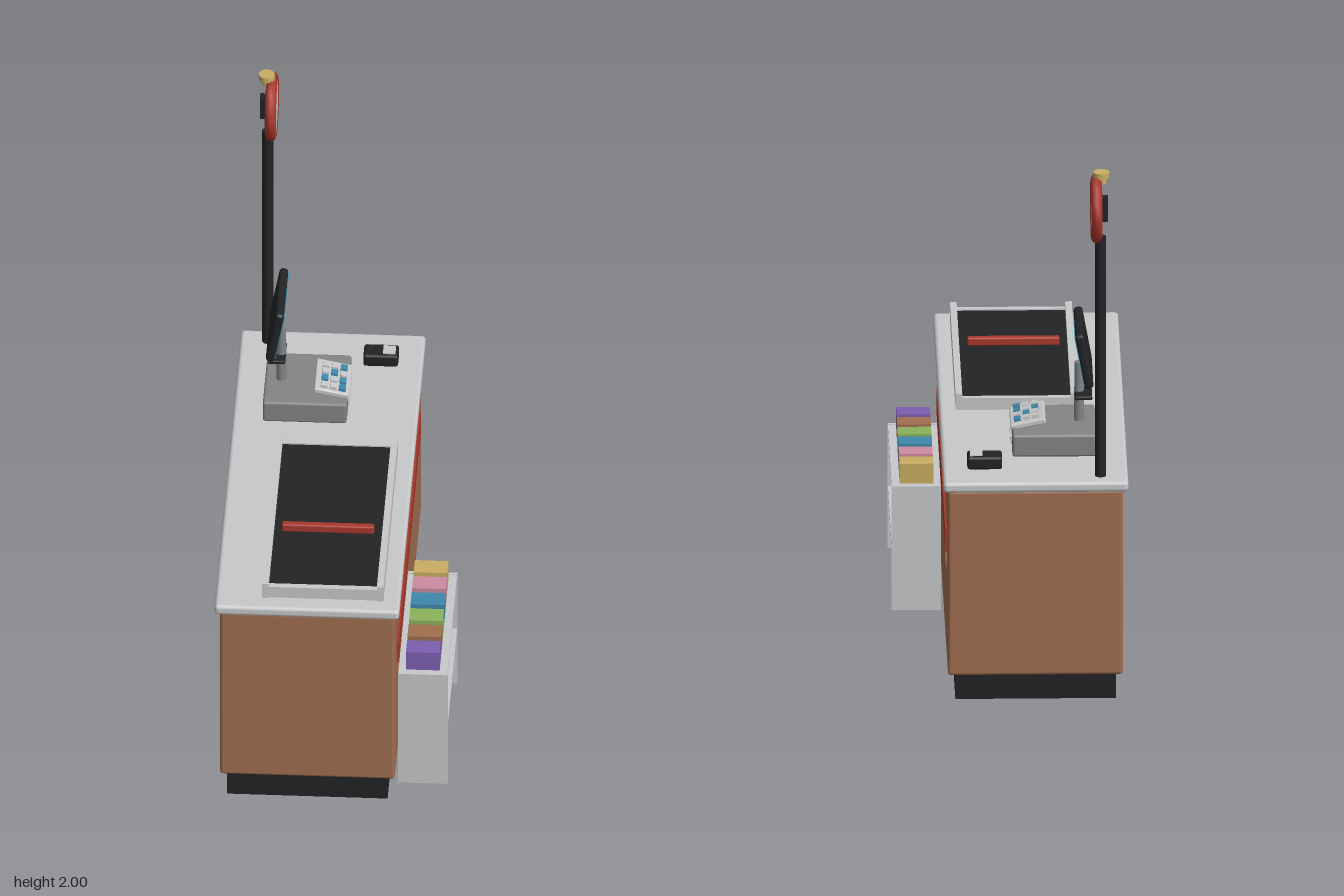
import * as THREE from 'three';
import { RoundedBoxGeometry } from 'three/addons/geometries/RoundedBoxGeometry.js';

const mat = (name, color) => {
  const m = new THREE.MeshStandardMaterial({ color });
  m.name = name;
  return m;
};

export function createModel() {
  const brown = mat('brown', 0xa06e50);
  const light = mat('lightGrey', 0xc6c8ca);
  const grey = mat('midGrey', 0x828486);
  const black = mat('black', 0x222325);
  const red = mat('red', 0xa9382c);
  const blue = mat('blue', 0x3e88ab);
  const gold = mat('gold', 0xc9ae62);
  const pink = mat('pink', 0xcc8a9f);
  const green = mat('green', 0x8ab35b);
  const purple = mat('purple', 0x7d5fb2);

  const model = new THREE.Group();
  model.name = 'checkoutCounter';

  const add = (parent, name, geo, material, x = 0, y = 0, z = 0) => {
    const mesh = new THREE.Mesh(geo, material);
    mesh.name = name;
    mesh.position.set(x, y, z);
    parent.add(mesh);
    return mesh;
  };
  // Box given by its extents; r > 0 rounds the edges
  const box = (parent, name, material, x0, x1, y0, y1, z0, z1, r = 0) => {
    const size = [x1 - x0, y1 - y0, z1 - z0];
    const geo = r ? new RoundedBoxGeometry(...size, 2, r) : new THREE.BoxGeometry(...size);
    return add(parent, name, geo, material, (x0 + x1) / 2, (y0 + y1) / 2, (z0 + z1) / 2);
  };
  const group = (name) => {
    const g = new THREE.Group();
    g.name = name;
    model.add(g);
    return g;
  };

  // Cabinet
  const counter = group('counter');
  box(counter, 'plinth', black, -0.37, 0.205, 0, 0.11, -0.806, 0.86);
  box(counter, 'cabinet', brown, -0.395, 0.232, 0.1, 0.805, -0.838, 0.886, 0.012);
  box(counter, 'countertop', light, -0.414, 0.248, 0.8, 0.84, -0.85, 0.9, 0.014);
  box(counter, 'redStripe', red, 0.231, 0.239, 0.52, 0.61, -0.695, 0.753);
  box(counter, 'trimStrip', brown, 0.231, 0.237, 0.463, 0.49, -0.695, 0.753);

  // Conveyor
  const conveyor = group('conveyor');
  box(conveyor, 'conveyorBed', light, -0.225, 0.165, 0.838, 0.862, -0.095, 0.83);
  box(conveyor, 'belt', black, -0.224, 0.164, 0.862, 0.88, -0.082, 0.808);
  for (const x of [-0.247, 0.165]) box(conveyor, 'sideRail', light, x, x + 0.024, 0.838, 0.902, -0.1, 0.838);
  for (const z of [-0.1, 0.808]) box(conveyor, 'endRail', light, -0.224, 0.166, 0.838, 0.885, z, z + 0.024);
  box(conveyor, 'beltDivider', red, -0.195, 0.135, 0.879, 0.91, 0.447, 0.475, 0.006);

  // Cash register
  const register = group('cashRegister');
  box(register, 'registerBase', grey, -0.305, -0.004, 0.84, 0.924, -0.59, -0.27, 0.01);
  box(register, 'drawerHandle', light, -0.006, 0.002, 0.878, 0.89, -0.515, -0.345);
  const keypad = new THREE.Group();
  keypad.name = 'keypad';
  keypad.position.set(-0.062, 0.936, -0.415);
  keypad.rotation.z = -0.2;
  register.add(keypad);
  box(keypad, 'keypadPlate', light, -0.064, 0.064, -0.011, 0.011, -0.097, 0.097, 0.006);
  const blueKeys = [2, 4, 6, 8, 11];
  for (let i = 0; i < 12; i++) {
    const x = -0.03 + (i % 3) * 0.033, z = -0.058 + Math.floor(i / 3) * 0.042;
    box(keypad, 'key', blueKeys.includes(i) ? blue : light,
      x - 0.012, x + 0.012, 0.01, 0.022, z - 0.015, z + 0.015);
  }

  // Monitor on its post
  add(register, 'monitorPost', new THREE.CylinderGeometry(0.016, 0.019, 0.23, 12), grey, -0.246, 1.03, -0.428);
  box(register, 'postBracket', black, -0.292, -0.23, 1.02, 1.035, -0.495, -0.372, 0.005);
  const monitor = new THREE.Group();
  monitor.name = 'monitor';
  monitor.position.set(-0.262, 1.198, -0.428);
  monitor.rotation.z = -0.18;
  register.add(monitor);
  box(monitor, 'monitorCase', black, -0.016, 0.016, -0.104, 0.104, -0.154, 0.154, 0.012);
  box(monitor, 'screen', blue, 0.014, 0.019, -0.092, 0.092, -0.142, 0.142);

  // Card terminal
  const terminal = group('cardTerminal');
  box(terminal, 'terminalBody', black, 0.035, 0.16, 0.84, 0.888, -0.716, -0.636, 0.01);
  box(terminal, 'terminalScreen', light, 0.105, 0.15, 0.886, 0.891, -0.702, -0.65);

  // Lane sign on a pole
  const sign = group('laneSign');
  add(sign, 'pole', new THREE.CylinderGeometry(0.02, 0.02, 0.92, 12), black, -0.315, 1.295, -0.78);
  const ring = add(sign, 'signRing', new THREE.TorusGeometry(0.106, 0.02, 8, 14), red, -0.3, 1.86, -0.78);
  ring.rotation.y = Math.PI / 2;
  const disc = add(sign, 'signDisc', new THREE.CylinderGeometry(0.106, 0.106, 0.034, 28), light, -0.3, 1.86, -0.78);
  disc.rotation.z = Math.PI / 2;
  box(sign, 'signBracket', black, -0.342, -0.312, 1.815, 1.905, -0.796, -0.764);
  add(sign, 'beaconNeck', new THREE.CylinderGeometry(0.018, 0.018, 0.025, 12), gold, -0.318, 1.969, -0.78);
  add(sign, 'beaconCap', new THREE.CylinderGeometry(0.029, 0.029, 0.02, 16), gold, -0.318, 1.99, -0.78);

  // Goods rack with two shelves
  const rack = group('goodsRack');
  for (const z of [0.108, 0.742]) box(rack, 'rackSide', light, 0.236, 0.414, 0, 0.472, z, z + 0.014);
  const shelves = [
    { y: 0.47, h: 0.075, colours: [purple, brown, green, blue, pink, gold] },
    { y: 0.238, h: 0.104, colours: [pink, gold, purple, brown, green, blue] },
  ];
  for (const { y, h, colours } of shelves) {
    box(rack, 'shelf', light, 0.237, 0.413, y - 0.014, y, 0.12, 0.744);
    colours.forEach((colour, i) => {
      const z = 0.686 - i * 0.101;
      box(rack, 'goodsBox', colour, 0.263, 0.384, y, y + h, z - 0.038, z + 0.038);
    });
  }

  return model;
}
